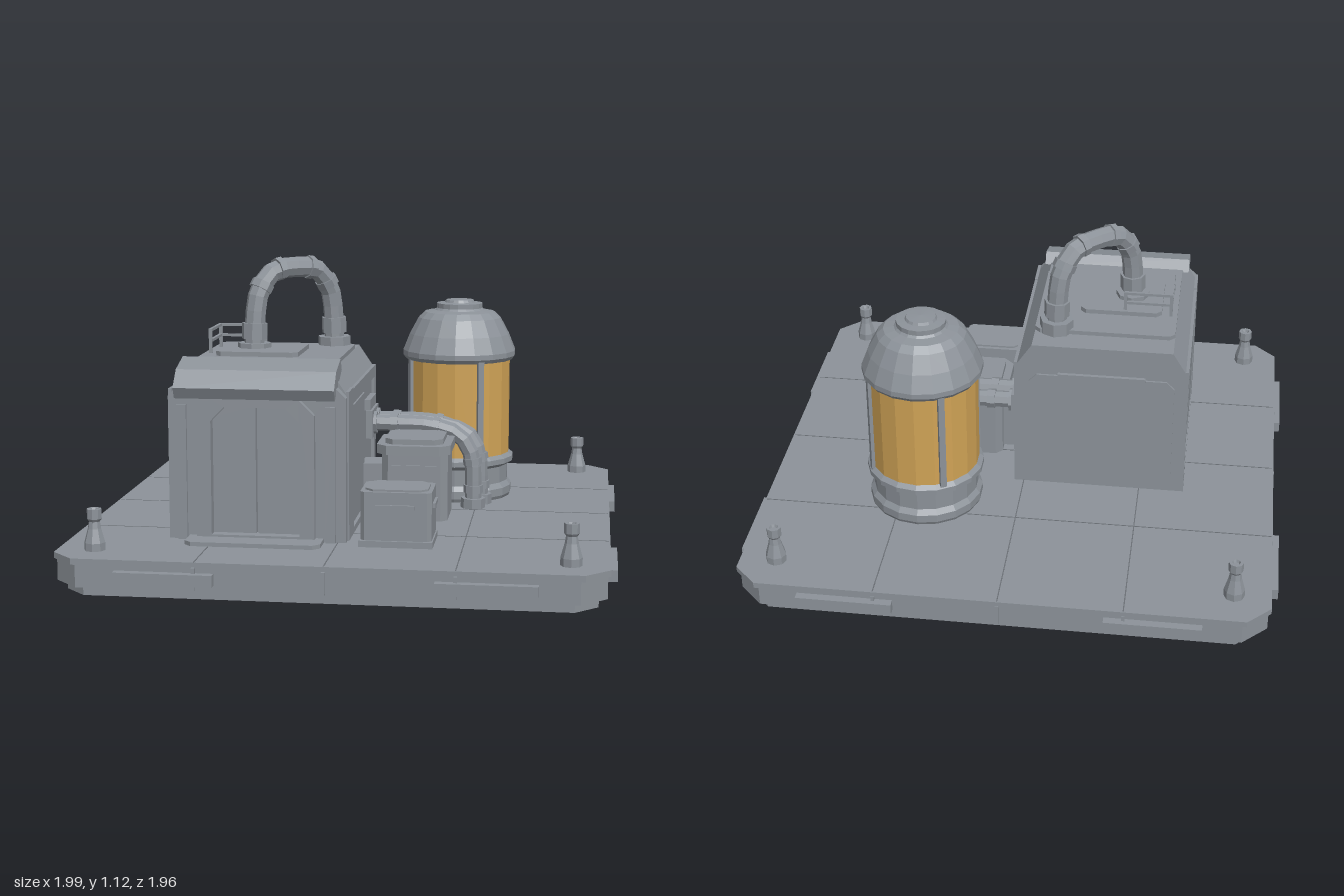
import * as THREE from 'three';

const metal = new THREE.MeshStandardMaterial({ color: 0x8c9299 });
metal.name = 'metal';
const amber = new THREE.MeshStandardMaterial({ color: 0xd0a356 });
amber.name = 'amberGlass';
const seam = new THREE.MeshStandardMaterial({ color: 0x6b7076 });
seam.name = 'seam';

const V = (x, y, z) => new THREE.Vector3(x, y, z);

// Adds a facet-shaded mesh
function add(parent, name, geo, mat = metal) {
  const g = geo.index ? geo.toNonIndexed() : geo;
  g.computeVertexNormals();
  const mesh = new THREE.Mesh(g, mat);
  mesh.name = name;
  parent.add(mesh);
  return mesh;
}
function group(parent, name) {
  const g = new THREE.Group();
  g.name = name;
  parent.add(g);
  return g;
}
// Box given by its limits on each axis
function box(parent, name, x0, x1, y0, y1, z0, z1, mat) {
  const geo = new THREE.BoxGeometry(x1 - x0, y1 - y0, z1 - z0);
  geo.translate((x0 + x1) / 2, (y0 + y1) / 2, (z0 + z1) / 2);
  return add(parent, name, geo, mat);
}
const shapeOf = (pts) => new THREE.Shape(pts.map(([x, y]) => new THREE.Vector2(x, y)));
const extrude = (shape, depth) => new THREE.ExtrudeGeometry(shape, { depth, bevelEnabled: false });
// Rectangle with cut corners: c at the top, cb at the bottom
const cutRect = (x0, x1, y0, y1, c, cb = c) => [
  [x0 + cb, y0], [x1 - cb, y0], [x1, y0 + cb], [x1, y1 - c],
  [x1 - c, y1], [x0 + c, y1], [x0, y1 - c], [x0, y0 + cb],
].filter((p, i, a) => i === 0 || p[0] !== a[i - 1][0] || p[1] !== a[i - 1][1]);
// Horizontal slab with cut corners
function slab(parent, name, x0, x1, z0, z1, y0, y1, c) {
  const geo = extrude(shapeOf(cutRect(x0, x1, -z1, -z0, c)), y1 - y0);
  geo.rotateX(-Math.PI / 2).translate(0, y0, 0);
  return add(parent, name, geo);
}
function lathe(parent, name, pts, sides, x, z, mat) {
  const geo = new THREE.LatheGeometry(pts.map(([r, y]) => new THREE.Vector2(r, y)), sides);
  return add(parent, name, geo.translate(x, 0, z), mat);
}
// Faceted pipe with collars at fractions t of its length
function pipe(parent, name, pts, r, steps, collars) {
  const g = group(parent, name);
  const curve = new THREE.CatmullRomCurve3(pts, false, 'centripetal');
  add(g, 'pipeTube', new THREE.TubeGeometry(curve, steps, r, 8));
  for (const [t, grow, len] of collars) {
    const geo = new THREE.CylinderGeometry(r * grow, r * grow, len, 8);
    geo.applyQuaternion(new THREE.Quaternion().setFromUnitVectors(V(0, 1, 0), curve.getTangentAt(t)));
    const p = curve.getPointAt(t);
    add(g, 'pipeCollar', geo.translate(p.x, p.y, p.z));
  }
  return g;
}

function buildPlatform(root) {
  const g = group(root, 'platform');
  slab(g, 'foot', -0.93, 0.93, -0.92, 0.92, 0, 0.035, 0.08);
  slab(g, 'deckCore', -0.96, 0.96, -0.95, 0.95, 0.035, 0.125, 0.09);
  slab(g, 'deckTop', -0.97, 0.97, -0.96, 0.95, 0.115, 0.137, 0.085);
  for (const p of [-0.45, 0, 0.45]) {
    box(g, 'deckSeam', p - 0.002, p + 0.002, 0.13, 0.138, -0.955, 0.945, seam);
    box(g, 'deckSeam', -0.965, 0.965, 0.13, 0.138, p - 0.002, p + 0.002, seam);
    for (const s of [-1, 1]) {
      box(g, 'rimJoint', p - 0.006, p + 0.006, 0.04, 0.12, s * 0.957 - 0.006, s * 0.957 + 0.006);
      box(g, 'rimJoint', s * 0.967 - 0.006, s * 0.967 + 0.006, 0.04, 0.12, p - 0.006, p + 0.006);
    }
  }
  // Rim plates and corner posts
  for (const s of [-1, 1]) for (const t of [-1, 1]) {
    const c = t * 0.555;
    box(g, 'rimPlate', c - 0.175, c + 0.175, 0.058, 0.1, s * 0.96 - 0.02, s * 0.96 + 0.02);
    box(g, 'rimPlate', s * 0.97 - 0.025, s * 0.97 + 0.025, 0.058, 0.1, c - 0.165, c + 0.165);
    lathe(g, 'cornerPost', [[0.038, 0.13], [0.038, 0.165], [0.024, 0.215], [0.02, 0.24],
      [0.027, 0.25], [0.027, 0.285], [0.016, 0.285], [0.012, 0.275], [0, 0.275]], 8, s * 0.835, t * 0.815);
  }
}

function buildHouse(root) {
  const g = group(root, 'house');
  const X0 = -0.61, X1 = 0.025, MID = -0.295;
  // Main shell with sloped roof edges
  const section = [[X0, 0.135], [X1, 0.135], [X1, 0.67], [-0.03, 0.752], [-0.56, 0.752], [X0, 0.67]];
  add(g, 'shell', extrude(shapeOf(section), 0.76).translate(0, 0, -0.2));
  // Raised frames leave recessed panels along both sides
  for (const [x0, x1] of [[X0 - 0.012, X0], [X1, X1 + 0.012]]) {
    box(g, 'sideFrontPillar', x0, x1, 0.135, 0.68, 0.45, 0.57);
    box(g, 'sideBackPillar', x0, x1, 0.135, 0.66, -0.2, -0.15);
    box(g, 'sideTopRail', x0, x1, 0.63, 0.675, -0.2, 0.45);
    box(g, 'sideSill', x0, x1, 0.135, 0.16, -0.2, 0.45);
    box(g, 'sidePanel', x0 + 0.003, x1 - 0.003, 0.18, 0.61, 0.12, 0.43);
  }
  add(g, 'backPanel', extrude(shapeOf(cutRect(-0.57, -0.02, 0.18, 0.63, 0.03)), 0.01).translate(0, 0, -0.208));
  box(g, 'backPanelTab', -0.46, -0.13, 0.6, 0.64, -0.214, -0.2);

  // Door portal, jambs, and the two leaves
  const portal = shapeOf(cutRect(-0.615, 0.03, 0.135, 0.7, 0.04, 0));
  portal.holes.push(new THREE.Path(cutRect(-0.5, -0.09, 0.15, 0.64, 0.05, 0).map((p) => new THREE.Vector2(...p))));
  add(g, 'portal', extrude(portal, 0.045).translate(0, 0, 0.56));
  const jamb = shapeOf(cutRect(-0.51, -0.08, 0.137, 0.655, 0.055, 0));
  jamb.holes.push(new THREE.Path(cutRect(-0.455, -0.135, 0.16, 0.625, 0.05, 0).map((p) => new THREE.Vector2(...p))));
  add(g, 'doorFrame', extrude(jamb, 0.055).translate(0, 0, 0.575));
  for (const s of [-1, 1]) {
    const leaf = [[0.004, 0.14], [0.16, 0.14], [0.16, 0.58], [0.115, 0.625], [0.004, 0.625]];
    const pts = leaf.map(([x, y]) => [MID + s * x, y]);
    add(g, 'doorLeaf', extrude(shapeOf(pts), 0.03).translate(0, 0, 0.56));
    const cx = MID + s * 0.27;
    box(g, 'portalPost', cx - 0.018, cx + 0.018, 0.137, 0.63, 0.6, 0.618);
  }
  slab(g, 'doorStep', -0.54, -0.05, 0.55, 0.72, 0.13, 0.152, 0.025);

  // Sloped visor above the door
  const visor = [[0.46, 0.745], [0.635, 0.655], [0.655, 0.695], [0.6, 0.755], [0.49, 0.787]];
  const vg = extrude(shapeOf(visor), 0.58);
  add(g, 'visor', vg.rotateY(-Math.PI / 2).translate(-0.005, 0, 0));
  box(g, 'visorLip', -0.56, -0.03, 0.655, 0.69, 0.59, 0.625);

  // Stepped roof plates
  slab(g, 'roofPlate', -0.56, -0.03, -0.1, 0.38, 0.745, 0.768, 0.02);
  slab(g, 'roofHatch', -0.5, -0.19, 0.04, 0.33, 0.76, 0.785, 0.02);

  // Guard rail
  const rail = group(g, 'guardRail');
  const posts = [[-0.535, 0.245], [-0.535, 0.06], [-0.36, 0.06]];
  for (const [x, z] of posts) box(rail, 'railPost', x - 0.006, x + 0.006, 0.75, 0.86, z - 0.006, z + 0.006);
  for (const y of [0.815, 0.855]) {
    box(rail, 'railBar', -0.541, -0.529, y - 0.005, y + 0.005, 0.06, 0.245);
    box(rail, 'railBar', -0.535, -0.36, y - 0.005, y + 0.005, 0.054, 0.066);
  }

  // Arched roof pipe, a fraction f of the way between its feet
  const at = (f, y) => V(-0.38 + 0.27 * f, y, 0.18 - 0.25 * f);
  pipe(g, 'roofPipe', [at(0, 0.76), at(0.01, 0.88), at(0.06, 0.99), at(0.22, 1.065), at(0.5, 1.08),
    at(0.78, 1.065), at(0.94, 0.99), at(0.99, 0.88), at(1, 0.76)], 0.039, 16,
  [[0.02, 1.65, 0.05], [0.1, 1.25, 0.06], [0.3, 1.15, 0.03], [0.42, 1.15, 0.025],
    [0.58, 1.15, 0.025], [0.7, 1.15, 0.03], [0.9, 1.25, 0.06], [0.98, 1.65, 0.05]]);
}

function buildTank(root) {
  const g = group(root, 'tank');
  const x = 0.36, z = -0.33;
  lathe(g, 'tankBase', [[0.205, 0.13], [0.215, 0.15], [0.215, 0.18], [0.2, 0.2], [0.2, 0.265],
    [0.222, 0.28], [0.222, 0.3], [0.2, 0.318], [0.15, 0.318]], 18, x, z);
  lathe(g, 'tankGlass', [[0.205, 0.31], [0.205, 0.705]], 18, x, z, amber);
  lathe(g, 'tankDome', [[0.18, 0.69], [0.215, 0.69], [0.226, 0.705], [0.226, 0.725], [0.2, 0.79],
    [0.165, 0.855], [0.14, 0.878], [0.1, 0.885], [0.092, 0.893], [0.092, 0.912], [0.06, 0.915],
    [0.055, 0.925], [0, 0.928]], 18, x, z);
  for (let i = 0; i < 4; i++) {
    const rib = new THREE.BoxGeometry(0.024, 0.4, 0.026);
    rib.translate(0, 0.505, 0.204).rotateY(THREE.MathUtils.degToRad(28 + 90 * i));
    add(g, 'tankRib', rib.translate(x, 0, z));
  }
}

function buildMachinery(root) {
  const g = group(root, 'machinery');
  // Twin pipes from the wall to the deck
  for (const [z, end] of [[-0.05, 0.44], [-0.135, 0.46]]) {
    pipe(g, 'wallPipe', [V(0.02, 0.465, z), V(0.14, 0.465, z), V(0.27, 0.46, z), V(end - 0.06, 0.425, z),
      V(end - 0.01, 0.35, z), V(end, 0.25, z), V(end, 0.13, z)], 0.032, 12,
    [[0.04, 1.4, 0.03], [0.16, 1.18, 0.03], [0.4, 1.15, 0.025], [0.72, 1.15, 0.025], [0.97, 1.5, 0.05], [0.88, 1.2, 0.03]]);
  }
  box(g, 'pipeMount', 0.02, 0.05, 0.41, 0.52, -0.19, 0.01);
  box(g, 'wallBracket', 0.02, 0.048, 0.53, 0.57, -0.12, 0.06);

  // Generator beside the house
  slab(g, 'generatorBody', 0.11, 0.36, -0.03, 0.22, 0.13, 0.39, 0.025);
  slab(g, 'generatorLid', 0.09, 0.37, -0.05, 0.232, 0.39, 0.425, 0.04);
  slab(g, 'generatorCap', 0.12, 0.34, -0.02, 0.2, 0.425, 0.445, 0.03);
  box(g, 'generatorPanel', 0.15, 0.32, 0.19, 0.35, 0.215, 0.227);
  box(g, 'generatorLink', 0.02, 0.12, 0.15, 0.34, 0.02, 0.15);

  // Control box near the front
  slab(g, 'controlBox', 0.085, 0.34, 0.45, 0.645, 0.13, 0.335, 0.015);
  slab(g, 'controlBoxTop', 0.1, 0.325, 0.465, 0.63, 0.335, 0.342, 0.03);
  box(g, 'controlBoxHandle', 0.14, 0.28, 0.275, 0.29, 0.64, 0.654);
  box(g, 'controlBoxHandle', 0.335, 0.35, 0.275, 0.29, 0.49, 0.6);
  box(g, 'controlBoxBase', 0.08, 0.345, 0.13, 0.16, 0.445, 0.655);
}

export function createModel() {
  const root = new THREE.Group();
  root.name = 'outpost';
  buildPlatform(root);
  buildHouse(root);
  buildTank(root);
  buildMachinery(root);
  return root;
}
